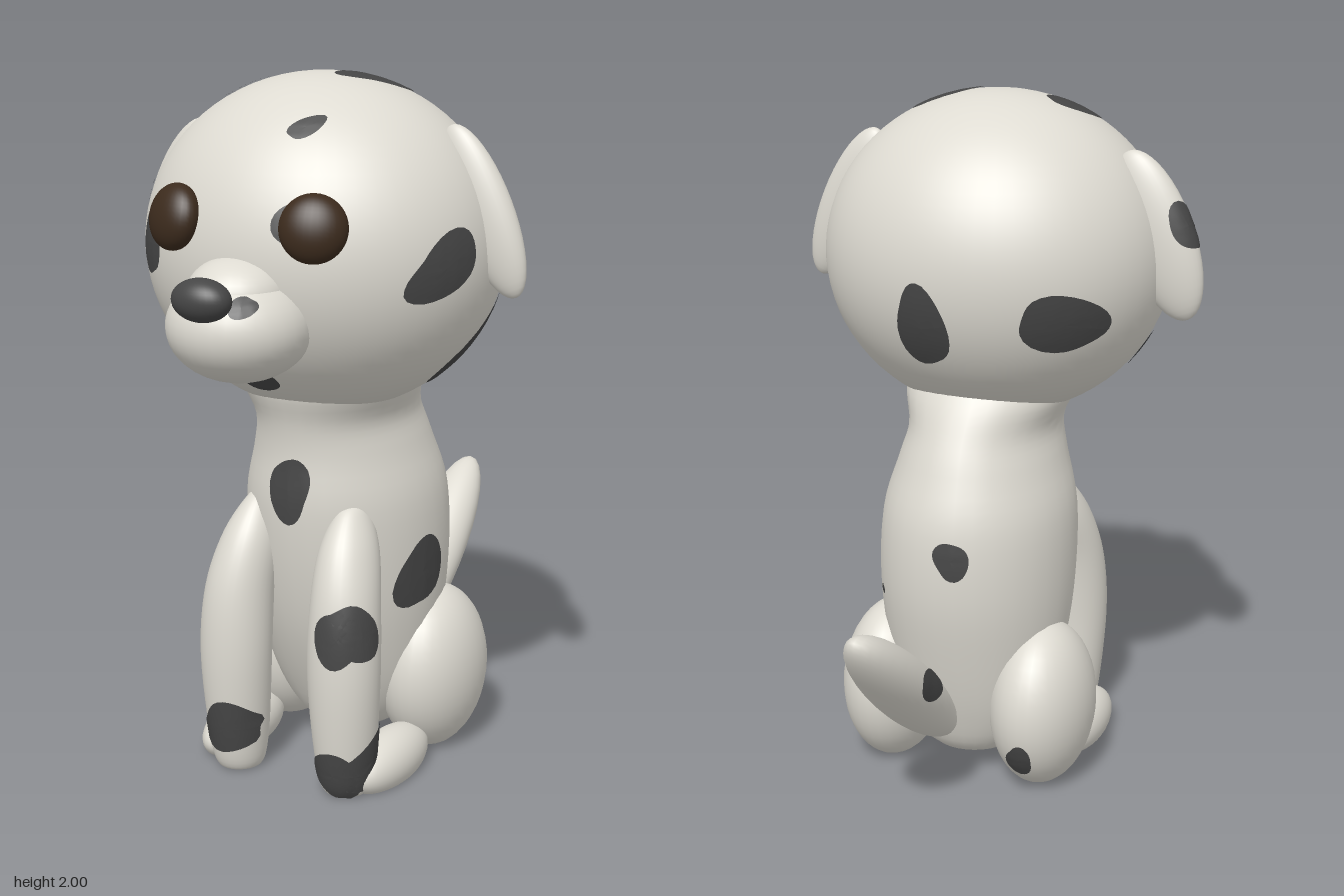
import * as THREE from 'three';
import { mergeVertices } from 'three/addons/utils/BufferGeometryUtils.js';

const V = (x, y, z) => new THREE.Vector3(x, y, z);

export function createModel() {
  const dog = new THREE.Group();
  dog.name = 'spottedPuppy';
  const material = (name, color) => {
    const m = new THREE.MeshStandardMaterial({ color });
    m.name = name;
    return m;
  };
  const coat = material('offWhiteCoat', 0xdedbd2);
  const dark = material('charcoal', 0x464646);
  const brown = material('darkBrown', 0x3c2b1d);

  const add = (name, geometry, mat) => {
    const mesh = new THREE.Mesh(geometry, mat);
    mesh.name = name;
    dog.add(mesh);
    return mesh;
  };

  // Ellipsoid with baked placement, flattened where it meets the ground
  const ellipsoid = (name, mat, c, r, q = new THREE.Quaternion(), seg = 32) => {
    const g = new THREE.SphereGeometry(1, seg, Math.round(seg * 0.7));
    g.applyMatrix4(new THREE.Matrix4().compose(V(...c), q, V(...r)));
    const p = g.attributes.position;
    for (let i = 0; i < p.count; i++) p.setY(i, Math.max(0, p.getY(i)));
    return add(name, g, mat);
  };
  const turn = (x, y, z) => new THREE.Quaternion().setFromEuler(new THREE.Euler(x, y, z));

  // Smooth upright form through elliptical sections [y, x, z, rx, rz], bottom to top
  const loft = (name, mat, sections) => {
    const spine = new THREE.CatmullRomCurve3(sections.map(s => V(s[1], s[0], s[2])), false, 'catmullrom', 0.5);
    const radii = new THREE.CatmullRomCurve3(sections.map(s => V(s[3], 0, s[4])), false, 'catmullrom', 0.5);
    const g = new THREE.CylinderGeometry(1, 1, 1, 32, 40, true);
    const p = g.attributes.position;
    for (let i = 0; i < p.count; i++) {
      const t = THREE.MathUtils.clamp(p.getY(i) + 0.5, 0, 1);
      const c = spine.getPoint(t), r = radii.getPoint(t);
      p.setXYZ(i, c.x + p.getX(i) * r.x, Math.max(0, c.y), c.z + p.getZ(i) * r.z);
    }
    g.deleteAttribute('uv');
    g.deleteAttribute('normal');
    const merged = mergeVertices(g);
    merged.computeVertexNormals();
    return add(name, merged, mat);
  };

  // Head and muzzle
  const head = ellipsoid('head', coat, [0.005, 1.53, 0.14], [0.512, 0.47, 0.47], undefined, 56);
  const muzzle = ellipsoid('muzzle', coat, [0, 1.37, 0.57], [0.195, 0.15, 0.2]);
  ellipsoid('muzzleBridge', coat, [0, 1.455, 0.57], [0.14, 0.1, 0.145]);
  ellipsoid('nose', dark, [0, 1.465, 0.748], [0.085, 0.057, 0.057]);

  // Eyes, flattened against the head
  for (const s of [-1, 1]) {
    const q = new THREE.Quaternion().setFromUnitVectors(V(0, 0, 1), V(s * 0.8, 0.5, 1.9).normalize());
    ellipsoid(s > 0 ? 'leftEye' : 'rightEye', brown, [0.008 + s * 0.212, 1.638, 0.565], [0.09, 0.09, 0.055], q);
  }

  // Ears
  ellipsoid('leftEar', coat, [0.483, 1.645, 0.122], [0.085, 0.245, 0.048], turn(0, 0, 0.42));
  const rightEar = ellipsoid('rightEar', coat, [-0.487, 1.617, 0.112], [0.105, 0.25, 0.055], turn(0, 0, -0.38));

  // Torso and neck
  const body = loft('body', coat, [
    [0.03, 0.01, -0.03, 0.005, 0.005],
    [0.07, 0.01, -0.03, 0.14, 0.14],
    [0.2, 0.01, -0.02, 0.23, 0.215],
    [0.4, 0.01, -0.005, 0.27, 0.285],
    [0.6, 0.01, 0.003, 0.286, 0.328],
    [0.8, 0.01, 0.018, 0.278, 0.338],
    [0.95, 0.01, 0.04, 0.238, 0.31],
    [1.05, 0.01, 0.068, 0.217, 0.293],
    [1.15, 0.01, 0.11, 0.25, 0.28],
    [1.24, 0.01, 0.14, 0.22, 0.24],
  ]);

  // Front legs
  const frontLeg = (name, x, s) => loft(name, coat, [
    [0, x, 0.35, 0.004, 0.004],
    [0, x, 0.35, 0.062, 0.065],
    [0.1, x, 0.355, 0.086, 0.09],
    [0.35, x, 0.364, 0.104, 0.102],
    [0.55, x - s * 0.005, 0.347, 0.098, 0.105],
    [0.7, x - s * 0.02, 0.3, 0.08, 0.1],
    [0.8, x - s * 0.03, 0.26, 0.04, 0.06],
    [0.83, x - s * 0.03, 0.25, 0.004, 0.004],
  ]);
  const leftLeg = frontLeg('leftFrontLeg', 0.193, 1);
  const rightLeg = frontLeg('rightFrontLeg', -0.165, -1);

  // Haunches and hind feet
  const haunch = {};
  for (const s of [-1, 1]) {
    const side = s > 0 ? 'left' : 'right';
    haunch[side] = ellipsoid(side + 'Haunch', coat, [0.006 + s * 0.24, 0.235, -0.085], [0.15, 0.25, 0.21]);
    ellipsoid(side + 'HindFoot', coat, [s * 0.25, 0.045, 0.2], [0.082, 0.085, 0.19]);
  }

  // Tail
  const tail = ellipsoid('tail', coat, [0.02, 0.415, -0.515], [0.1, 0.085, 0.385], turn(0.718, 0, 0));

  // Painted spots: blobby discs laid onto a part along a direction
  const caster = new THREE.Raycaster();
  let seed = 0;
  const spot = (part, center, out, w, h, degrees = 0) => {
    seed += 1.3;
    const dir = V(...out).normalize();
    const u = V(0, 1, 0).cross(dir);
    if (u.lengthSq() < 1e-6) u.set(1, 0, 0);
    u.normalize();
    const v = dir.clone().cross(u);
    const a = THREE.MathUtils.degToRad(degrees), ca = Math.cos(a), sa = Math.sin(a);
    const g = new THREE.RingGeometry(0.001, 1, 28, 5);
    const p = g.attributes.position;
    for (let i = 0; i < p.count; i++) {
      const x = p.getX(i), y = p.getY(i), th = Math.atan2(y, x);
      const k = 1 + 0.09 * Math.sin(2 * th + seed) + 0.07 * Math.sin(3 * th + 1.7 * seed);
      let px = x * k * w, py = y * k * h, hit;
      // Pull points that overshoot the part back toward the middle
      for (let n = 0; n < 30 && !hit; n++) {
        const from = V(...center).addScaledVector(u, px * ca - py * sa)
          .addScaledVector(v, px * sa + py * ca).addScaledVector(dir, 2);
        caster.set(from, dir.clone().negate());
        hit = caster.intersectObject(part)[0];
        px *= 0.92;
        py *= 0.92;
      }
      const at = hit ? hit.point.addScaledVector(hit.face.normal, 0.004) : V(...center);
      p.setXYZ(i, at.x, at.y, at.z);
    }
    g.computeVertexNormals();
    add(part.name + 'Spot', g, dark);
  };
  const F = [0, 0, 1], R = [1, 0, 0], T = [0, 1, 0], B = [-0.53, 0.42, -0.74];

  // Head spots
  spot(head, [-0.33, 1.55, 0], F, 0.05, 0.095);
  spot(head, [0.165, 1.64, 0], F, 0.052, 0.06);
  spot(head, [0.125, 1.875, 0], F, 0.045, 0.024, 25);
  spot(head, [0, 1.205, 0], F, 0.06, 0.035);
  spot(head, [0, 1.525, 0.32], R, 0.115, 0.072, 32);
  spot(head, [0, 1.285, 0.06], R, 0.145, 0.06, 48);
  spot(head, [0.14, 0, 0.115], T, 0.105, 0.053, 48);
  spot(head, [-0.205, 0, 0.175], T, 0.085, 0.048, 48);
  spot(head, [-0.33, 1.415, -0.2], [-0.3, -0.1, -0.34], 0.14, 0.08, -12);
  spot(head, [0.05, 1.39, -0.325], [0.04, -0.14, -0.46], 0.075, 0.125, 10);
  spot(head, [-0.41, 1.27, 0.2], [-0.41, -0.26, 0.08], 0.06, 0.09);
  spot(muzzle, [0.095, 1.445, 0], F, 0.03, 0.025);
  spot(rightEar, [-0.57, 1.65, 0.1], B, 0.05, 0.065, 30);

  // Body and tail spots
  spot(body, [0.01, 0.86, 0], F, 0.065, 0.09);
  spot(body, [0, 0.585, 0.075], R, 0.088, 0.115, -25);
  spot(body, [0, 0.575, -0.22], R, 0.012, 0.015);
  spot(body, [-0.04, 0.73, -0.32], [0, 0, -1], 0.05, 0.055);
  spot(tail, [-0.032, 0.414, -0.472], B, 0.043, 0.04);
  spot(haunch.right, [-0.23, 0.13, -0.24], [0, -0.3, -1], 0.04, 0.055);

  // Leg spots
  spot(leftLeg, [0.222, 0.49, 0], F, 0.065, 0.085);
  spot(leftLeg, [0, 0.5, 0.41], R, 0.05, 0.085);
  spot(leftLeg, [0.2, 0.075, 0], F, 0.07, 0.07);
  spot(leftLeg, [0, 0.11, 0.36], R, 0.12, 0.06, 48);
  spot(rightLeg, [-0.15, 0.145, 0], F, 0.085, 0.08);

  return dog;
}
